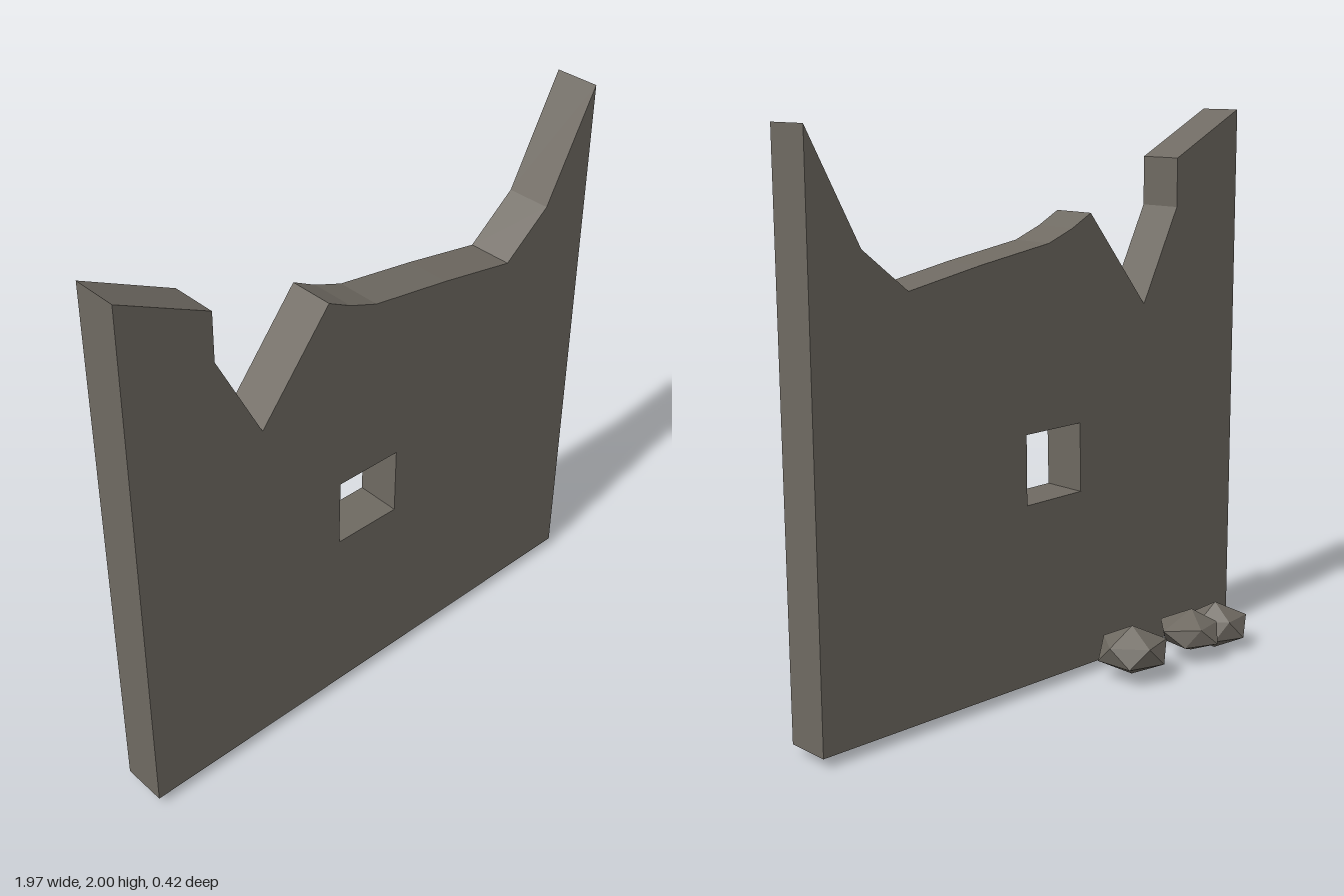
import * as THREE from 'three';

const stone = new THREE.MeshStandardMaterial({ color: 0x6f6a62, flatShading: true });

// Slab with a broken top edge and a small window
function makeWall() {
  const outline = [
    [-0.985, 0.035], [0.98, 0.035], [0.98, 2], [0.78, 1.62], [0.6, 1.475], [0.3, 1.53],
    [-0.01, 1.578], [-0.12, 1.62], [-0.21, 1.667], [-0.485, 1.325], [-0.655, 1.66],
    [-0.655, 1.835], [-0.985, 2],
  ];
  const opening = [[-0.165, 0.69], [-0.16, 0.938], [0.097, 0.936], [0.095, 0.687]];
  const toPoints = (list) => list.map(([x, y]) => new THREE.Vector2(x, y));
  const shape = new THREE.Shape(toPoints(outline));
  shape.holes.push(new THREE.Path(toPoints(opening)));
  const geometry = new THREE.ExtrudeGeometry(shape, { depth: 0.163, bevelEnabled: false });
  geometry.translate(0, 0, 0.047);
  const wall = new THREE.Mesh(geometry, stone);
  wall.name = 'brokenWall';
  return wall;
}

// Irregular twenty-sided rock: two poles and ten points alternating high and low
function makeRock({ name, x, z, bottom, top, poleX, radii }) {
  const height = top - bottom;
  const positions = [];
  radii.forEach((r, i) => {
    const a = (i * Math.PI) / 5;
    const y = bottom + height * (i % 2 ? 0.29 : 0.68);
    positions.push(x + r * Math.cos(a), y, z + r * Math.sin(a));
  });
  positions.push(poleX, top, z, poleX, bottom, z);
  const index = [];
  for (let i = 0; i < 10; i++) {
    const j = (i + 1) % 10, k = (i + 2) % 10;
    if (i % 2) index.push(i, j, k, 11, i, k);
    else index.push(i, k, j, 10, k, i);
  }
  const geometry = new THREE.BufferGeometry();
  geometry.setAttribute('position', new THREE.Float32BufferAttribute(positions, 3));
  geometry.setIndex(index);
  const flat = geometry.toNonIndexed();
  flat.computeVertexNormals();
  const rock = new THREE.Mesh(flat, stone);
  rock.name = name;
  return rock;
}

export function createModel() {
  const model = new THREE.Group();
  model.name = 'ruinedWall';
  model.add(makeWall());

  // Fallen rubble behind the wall
  const rubble = new THREE.Group();
  rubble.name = 'rubble';
  const rocks = [
    { name: 'outerRock', x: -0.75, z: -0.1, bottom: 0, top: 0.18, poleX: -0.74,
      radii: [0.1, 0.12, 0.1, 0.11, 0.1, 0.085, 0.115, 0.11, 0.09, 0.1] },
    { name: 'middleRock', x: -0.585, z: -0.1, bottom: 0.025, top: 0.185, poleX: -0.605,
      radii: [0.135, 0.085, 0.11, 0.1, 0.12, 0.12, 0.11, 0.12, 0.095, 0.105] },
    { name: 'innerRock', x: -0.29, z: -0.1, bottom: 0.018, top: 0.2, poleX: -0.28,
      radii: [0.125, 0.13, 0.12, 0.11, 0.135, 0.15, 0.12, 0.12, 0.115, 0.12] },
  ];
  rocks.forEach((rock) => rubble.add(makeRock(rock)));
  model.add(rubble);
  return model;
}
